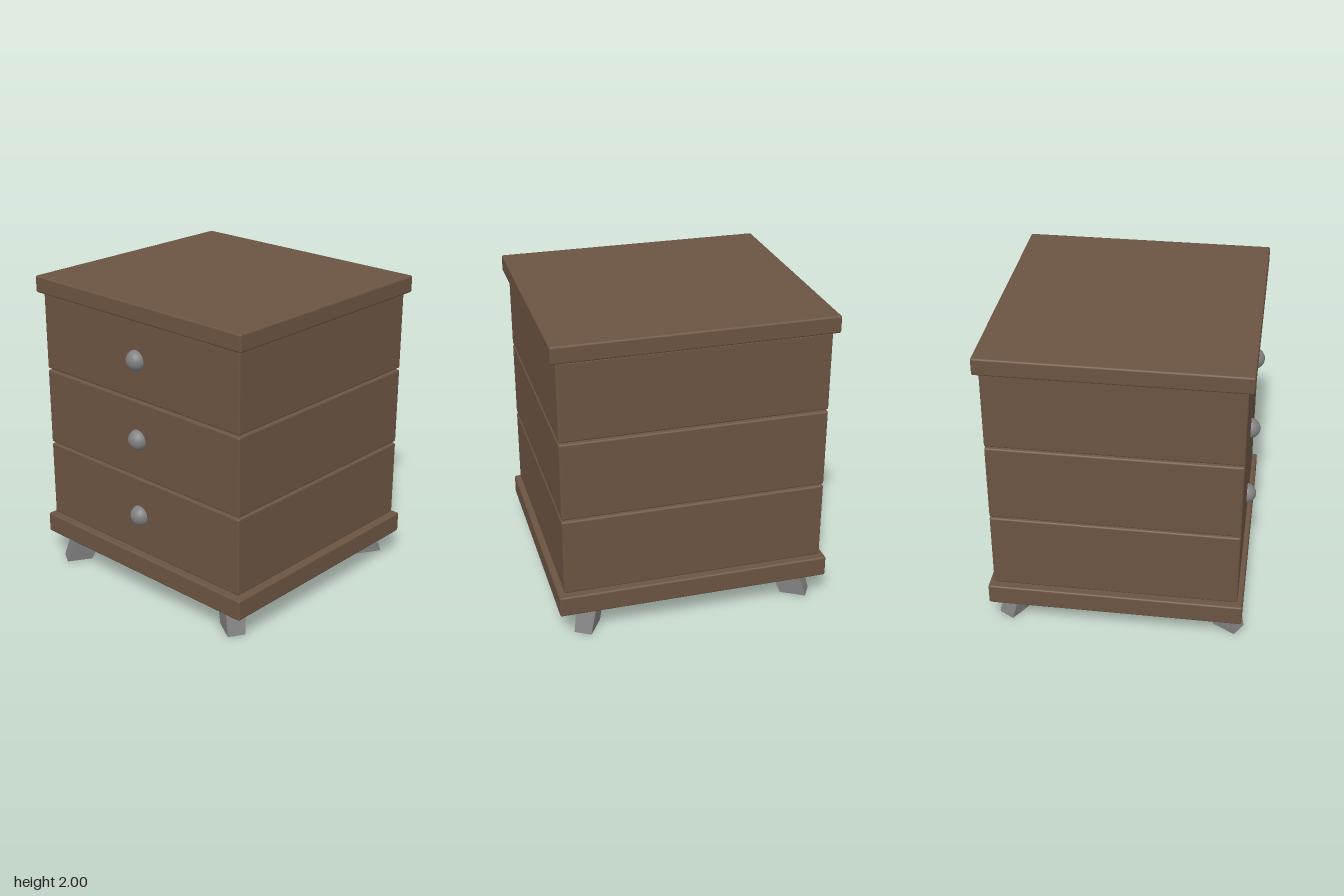
import * as THREE from 'three';
import { RoundedBoxGeometry } from 'three/addons/geometries/RoundedBoxGeometry.js';

const wood = new THREE.MeshStandardMaterial({ color: 0x6b5442 });
wood.name = 'brownWood';
const metal = new THREE.MeshStandardMaterial({ color: 0x808080 });
metal.name = 'greyMetal';

// Softly bevelled box given by its half width, and its y and z ranges
function slab(name, halfX, y0, y1, z0, z1) {
  const geo = new RoundedBoxGeometry(halfX * 2, y1 - y0, z1 - z0, 2, 0.012);
  geo.translate(0, (y0 + y1) / 2, (z0 + z1) / 2);
  const mesh = new THREE.Mesh(geo, wood);
  mesh.name = name;
  return mesh;
}

// Tapered block, turned towards the corner and splayed outwards
function legGeometry() {
  const height = 0.18;
  const foot = [0.728, 0.698];
  const top = [0.672, 0.653];
  const geo = new THREE.BoxGeometry(0.114, height, 0.17);
  geo.translate(0, height / 2, 0);
  geo.rotateY(THREE.MathUtils.degToRad(59));
  const p = geo.attributes.position;
  for (let i = 0; i < p.count; i++) {
    const t = p.getY(i) / height;
    const s = 1 + 0.15 * t;
    p.setX(i, p.getX(i) * s + THREE.MathUtils.lerp(foot[0], top[0], t));
    p.setZ(i, p.getZ(i) * s + THREE.MathUtils.lerp(foot[1], top[1], t));
  }
  geo.computeVertexNormals();
  return geo;
}

export function createModel() {
  const model = new THREE.Group();
  model.name = 'drawerCabinet';

  // Overhanging base and top boards
  model.add(slab('baseBoard', 0.887, 0.17, 0.307, -0.83, 0.818));
  model.add(slab('topBoard', 0.887, 1.889, 2, -0.83, 0.818));

  // Three stacked drawers with thin open gaps, each with a round knob
  const knobGeo = new THREE.SphereGeometry(0.068, 32, 20);
  for (let i = 0; i < 3; i++) {
    const y = 0.317 + i * 0.5265;
    const drawer = new THREE.Group();
    drawer.name = 'drawer' + (i + 1);
    drawer.add(slab('drawerBox', 0.85, y, y + 0.515, -0.797, 0.784));
    const knob = new THREE.Mesh(knobGeo, metal);
    knob.name = 'knob';
    knob.position.set(0, y + 0.258, 0.777);
    drawer.add(knob);
    model.add(drawer);
  }

  // Four legs repeated by quarter turns
  const legGeo = legGeometry();
  ['frontLeftLeg', 'backLeftLeg', 'backRightLeg', 'frontRightLeg'].forEach((name, i) => {
    const leg = new THREE.Mesh(legGeo, metal);
    leg.name = name;
    leg.rotation.y = i * Math.PI / 2;
    model.add(leg);
  });

  return model;
}
